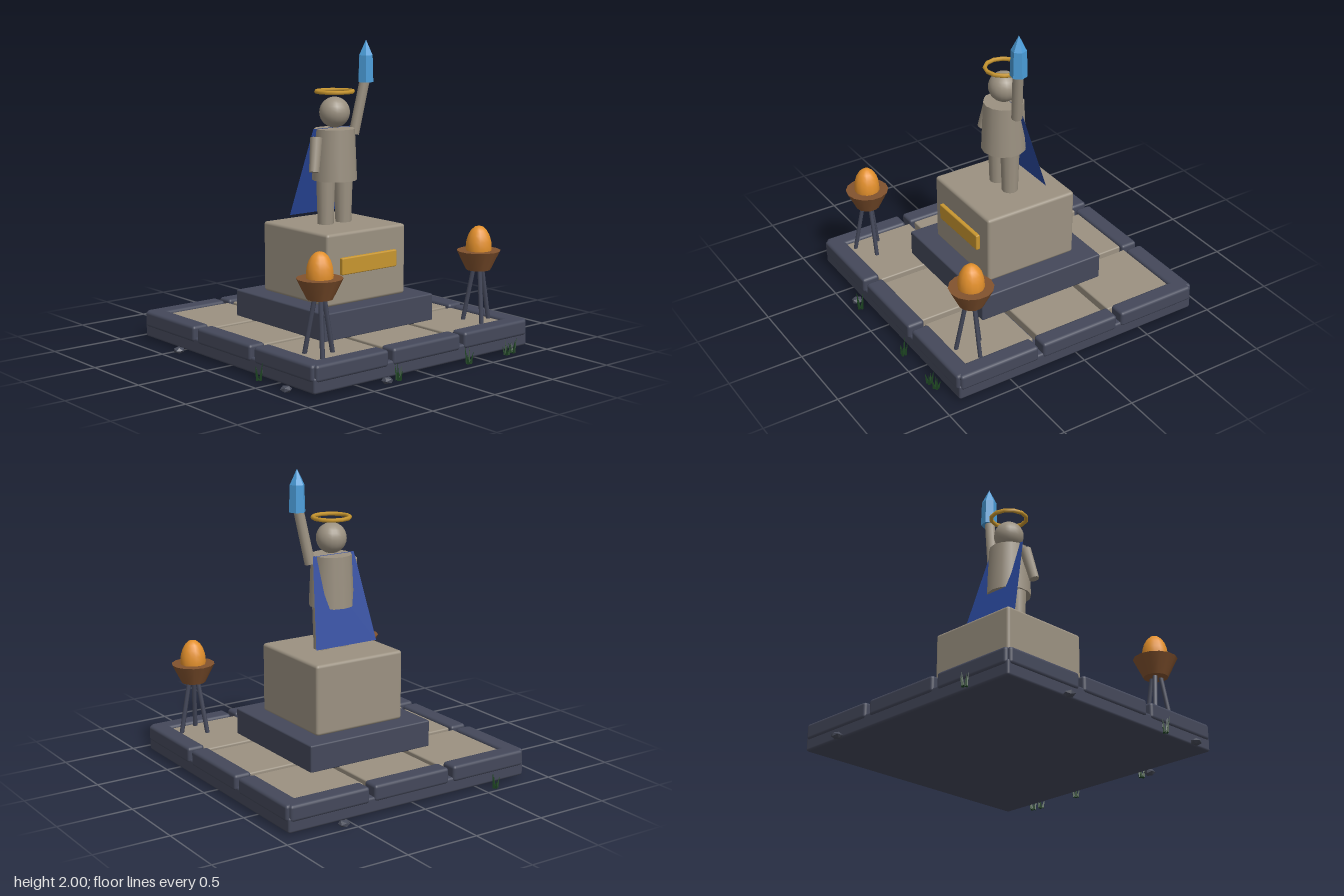
import * as THREE from 'three';
import { RoundedBoxGeometry } from 'three/addons/geometries/RoundedBoxGeometry.js';

const mat = (name, color, extra = {}) => {
  const m = new THREE.MeshStandardMaterial({ color, ...extra });
  m.name = name;
  return m;
};

export function createModel() {
  const slate = mat('dark slate', 0x44485a);
  const stone = mat('pale stone', 0x9b9181);
  const gold = mat('gold', 0xc8962f);
  const blue = mat('cape blue', 0x2a489c, { side: THREE.DoubleSide });
  const ice = mat('crystal blue', 0x4a9cd8, { flatShading: true });
  const wood = mat('bowl brown', 0x82522e);
  const flame = mat('flame orange', 0xe3902c);
  const green = mat('grass green', 0x1d4422, { flatShading: true });
  const rockMat = mat('rock slate', 0x464a58, { flatShading: true });

  const model = new THREE.Group();
  model.name = 'statueMonument';
  // Platform centre; grass and rocks make the outline slightly uneven
  const root = new THREE.Group();
  root.name = 'monument';
  root.position.set(0.035, 0, -0.012);
  model.add(root);

  const add = (parent, name, geo, material, x = 0, y = 0, z = 0) => {
    const m = new THREE.Mesh(geo, material);
    m.name = name;
    m.position.set(x, y, z);
    parent.add(m);
    return m;
  };
  const group = (parent, name, x = 0, y = 0, z = 0) => {
    const g = new THREE.Group();
    g.name = name;
    g.position.set(x, y, z);
    parent.add(g);
    return g;
  };
  const block = (w, h, d, r) => new RoundedBoxGeometry(w, h, d, 2, r);
  // Tapered rod between two points, r0 at a and r1 at b
  const rod = (parent, name, a, b, r0, r1, material, sides = 10) => {
    const p = new THREE.Vector3(...a), q = new THREE.Vector3(...b);
    const dir = q.clone().sub(p);
    const m = add(parent, name, new THREE.CylinderGeometry(r1, r0, dir.length(), sides), material);
    m.position.copy(p).add(q).multiplyScalar(0.5);
    m.quaternion.setFromUnitVectors(new THREE.Vector3(0, 1, 0), dir.normalize());
    return m;
  };

  // Platform: slab, 3 x 3 paving and a curb of three blocks per side
  const platform = group(root, 'platform');
  add(platform, 'slab', block(1.79, 0.1, 1.79, 0.015), slate, 0, 0.07, 0);
  for (let i = -1; i <= 1; i++) {
    for (let j = -1; j <= 1; j++) {
      add(platform, 'pavingTile', block(0.5, 0.07, 0.5, 0.01), stone, i * 0.54, 0.142, j * 0.54);
    }
    for (const s of [-1, 1]) {
      add(platform, 'curbBlock', block(0.565, 0.105, 0.12, 0.02), slate, i * 0.602, 0.143, s * 0.845);
      add(platform, 'curbBlock', block(0.12, 0.105, 0.565, 0.02), slate, s * 0.845, 0.143, i * 0.602);
    }
  }

  // Pedestal
  const pedestal = group(root, 'pedestal');
  add(pedestal, 'step', block(0.92, 0.18, 0.92, 0.01), slate, 0, 0.262, 0);
  add(pedestal, 'pedestalBlock', block(0.66, 0.465, 0.66, 0.02), stone, 0, 0.583, 0);
  add(pedestal, 'plaque', block(0.46, 0.11, 0.03, 0.008), gold, 0, 0.604, 0.345);

  // Statue
  const statue = group(root, 'statue', 0, 0, 0.005);
  for (const s of [-1, 1]) rod(statue, 'leg', [s * 0.075, 0.81, 0], [s * 0.075, 1.11, 0], 0.053, 0.062, stone, 12);
  add(statue, 'torso', new THREE.CylinderGeometry(0.132, 0.147, 0.335, 14), stone, 0, 1.267, 0);
  add(statue, 'head', new THREE.SphereGeometry(0.1, 18, 14), stone, 0, 1.54, 0);
  const halo = add(statue, 'halo', new THREE.TorusGeometry(0.12, 0.014, 6, 12), gold, 0, 1.674, 0);
  halo.rotation.x = Math.PI / 2;
  rod(statue, 'loweredArm', [-0.153, 1.385, 0], [-0.2, 1.168, 0.035], 0.04, 0.034, stone);
  rod(statue, 'raisedArm', [0.16, 1.387, 0.005], [0.222, 1.73, 0.038], 0.035, 0.034, stone);

  // Cape: a flat sheet sloping back, wider at the hem
  const capeGeo = new THREE.PlaneGeometry(1, 1);
  const cp = capeGeo.attributes.position;
  for (let i = 0; i < cp.count; i++) {
    const top = cp.getY(i) > 0;
    cp.setXYZ(i, Math.sign(cp.getX(i)) * (top ? 0.157 : 0.232), top ? 1.438 : 0.865, top ? -0.025 : -0.177);
  }
  capeGeo.computeVertexNormals();
  add(statue, 'cape', capeGeo, blue);

  // Crystal held in the raised hand
  const crystal = group(statue, 'crystal', 0.232, 0, 0.04);
  add(crystal, 'crystalShaft', new THREE.CylinderGeometry(0.05, 0.056, 0.175, 6), ice, 0, 1.813, 0);
  add(crystal, 'crystalTip', new THREE.ConeGeometry(0.05, 0.1, 6), ice, 0, 1.95, 0);
  crystal.rotation.y = 0.35;

  // Two fire bowls on tripods
  for (const s of [-1, 1]) {
    const brazier = group(root, 'brazier', s * 0.668, 0, 0.668);
    for (let i = 0; i < 3; i++) {
      const a = (i * Math.PI * 2) / 3, c = Math.cos(a), n = Math.sin(a);
      rod(brazier, 'tripodLeg', [c * 0.1, 0.17, n * 0.1], [c * 0.032, 0.53, n * 0.032], 0.015, 0.015, slate, 6);
    }
    add(brazier, 'bowl', new THREE.CylinderGeometry(0.143, 0.08, 0.127, 14), wood, 0, 0.584, 0);
    const fire = add(brazier, 'flame', new THREE.SphereGeometry(0.085, 14, 10), flame, 0, 0.665, 0);
    fire.scale.y = 1.7;
  }

  // Grass tufts: [x, z, height]
  const tufts = [[-0.58, -0.97, 0.1], [-0.9, 0.4, 0.11], [-0.25, 0.94, 0.11], [0.34, 0.945, 0.11],
    [0.675, 0.95, 0.09], [0.74, 0.94, 0.09]];
  tufts.forEach(([x, z, h], k) => {
    const tuft = group(model, 'grassTuft', x, 0, z);
    for (let i = 0; i < 4; i++) {
      const a = k * 1.3 + i * 1.7, c = Math.cos(a), n = Math.sin(a);
      const tall = h * (1 - 0.14 * i);
      rod(tuft, 'grassBlade', [c * 0.012, 0.012, n * 0.012], [c * 0.028, 0.015 + tall, n * 0.028], 0.011, 0.0005, green, 4);
    }
  });

  // Loose rocks: [x, z]
  [[0.57, -0.95], [-0.9, -0.455], [-0.91, 0.68], [-0.33, 0.925]].forEach(([x, z], k) => {
    const rock = add(model, 'rock', new THREE.IcosahedronGeometry(0.038, 0), rockMat, x, 0.022, z);
    rock.scale.y = 0.6;
    rock.rotation.y = k * 1.1;
  });

  return model;
}
